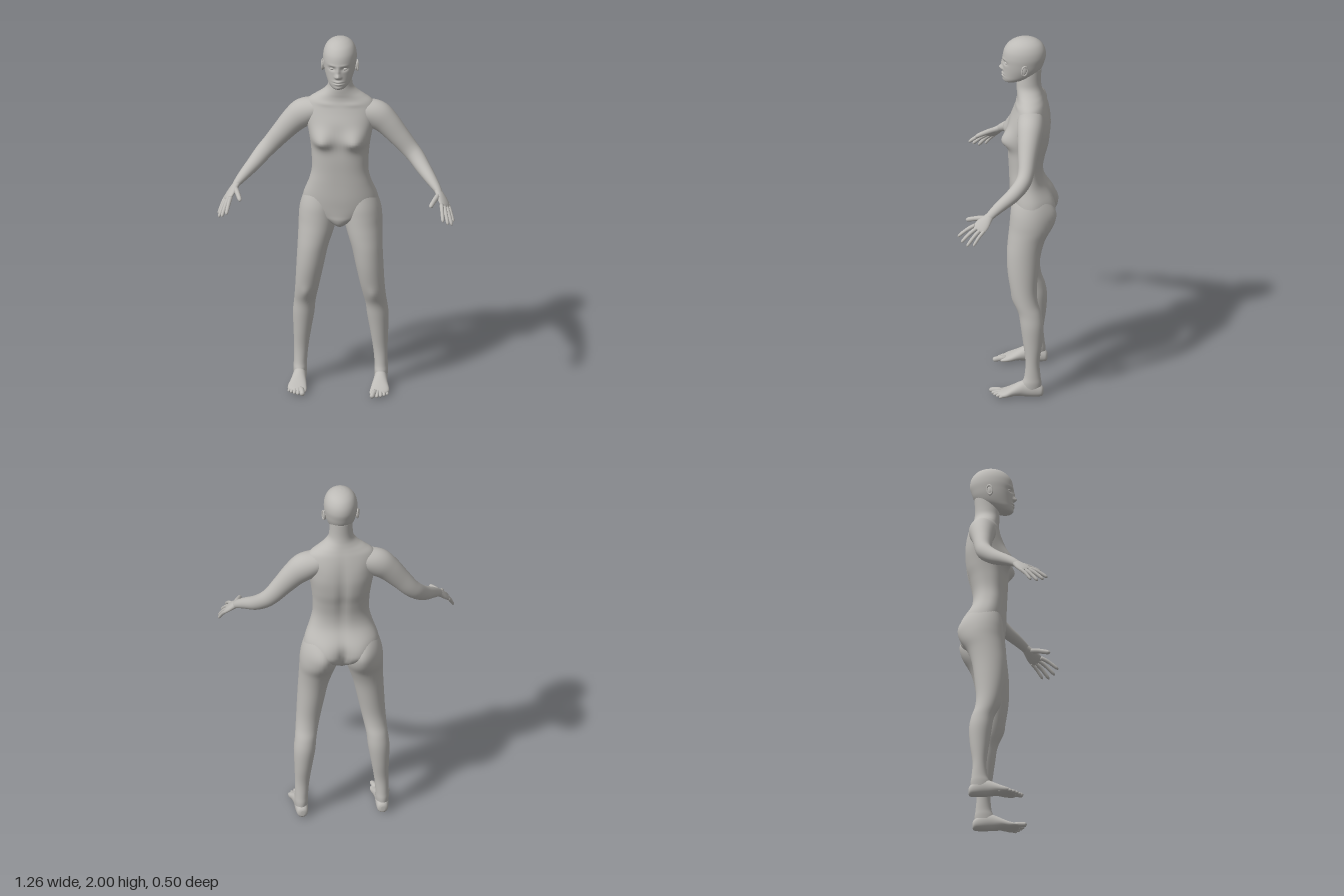
import * as THREE from 'three';

const skin = new THREE.MeshStandardMaterial({ color: 0xbdbbb7 });
skin.name = 'clay grey';

// Catmull-Rom sampling of rows of numbers
function sample(rows, t) {
  const f = t * (rows.length - 1), i = Math.min(Math.floor(f), rows.length - 2), k = f - i;
  const at = (n) => rows[Math.max(0, Math.min(rows.length - 1, n))];
  return rows[i].map((b, c) => {
    const a = at(i - 1)[c], d = at(i + 1)[c], e = at(i + 2)[c];
    return b + 0.5 * k * (d - a + k * (2 * a - 5 * b + 4 * d - e + k * (3 * (b - d) + e - a)));
  });
}

// Closed skin over a list of rings of points
function skinRings(rings) {
  const n = rings[0].length, pos = [], idx = [];
  rings.forEach((r) => r.forEach((p) => pos.push(p.x, p.y, p.z)));
  const id = (i, j) => i * n + (j % n);
  for (let i = 0; i < rings.length - 1; i++)
    for (let j = 0; j < n; j++)
      idx.push(id(i, j), id(i, j + 1), id(i + 1, j), id(i, j + 1), id(i + 1, j + 1), id(i + 1, j));
  [0, rings.length - 1].forEach((i, end) => {
    const c = rings[i].reduce((s, p) => s.add(p), new THREE.Vector3()).divideScalar(n);
    const centre = pos.length / 3;
    pos.push(c.x, c.y, c.z);
    for (let j = 0; j < n; j++)
      end ? idx.push(centre, id(i, j), id(i, j + 1)) : idx.push(centre, id(i, j + 1), id(i, j));
  });
  const g = new THREE.BufferGeometry();
  g.setAttribute('position', new THREE.Float32BufferAttribute(pos, 3));
  g.setIndex(idx);
  g.computeVertexNormals();
  return g;
}

const power = (v, p) => Math.sign(v) * Math.abs(v) ** (2 / p);

// Loft up y (or forward along z): rows are [position, centre x, half width, high side, low side, squareness]
function loft(rows, axis, steps, segs) {
  const rings = [];
  for (let s = 0; s <= steps; s++) {
    const [t, cx, r, hi, lo, p = 2] = sample(rows, s / steps);
    rings.push(Array.from({ length: segs }, (_, j) => {
      const a = (j / segs) * Math.PI * 2, c = power(Math.cos(a), p), d = power(Math.sin(a), p);
      const mid = (hi + lo) / 2, half = (hi - lo) / 2;
      return axis === 'y' ? new THREE.Vector3(cx + r * d, t, mid + half * c)
        : new THREE.Vector3(cx + r * c, mid + half * d, t);
    }));
  }
  return skinRings(rings);
}

// Limb along a path: rows are [x, y, z, radius along the width direction, other radius]
function limb(rows, width, steps, segs) {
  const rings = [], centre = (t) => new THREE.Vector3(...sample(rows, t).slice(0, 3));
  for (let s = 0; s <= steps; s++) {
    const t = s / steps, [x, y, z, ru, rv] = sample(rows, t);
    const dir = centre(Math.min(1, t + 0.01)).sub(centre(Math.max(0, t - 0.01))).normalize();
    const u = new THREE.Vector3(...width).addScaledVector(dir, -dir.dot(new THREE.Vector3(...width))).normalize();
    const v = dir.clone().cross(u);
    rings.push(Array.from({ length: segs }, (_, j) => {
      const a = (j / segs) * Math.PI * 2;
      return new THREE.Vector3(x, y, z).addScaledVector(u, ru * Math.cos(a)).addScaledVector(v, rv * Math.sin(a));
    }));
  }
  return skinRings(rings);
}

// Rounded digit from base to tip, with a slight bend at the middle
function digit(base, tip, r, lift, width) {
  const row = (t, k) => [0, 1, 2].map((i) => base[i] + (tip[i] - base[i]) * t + (i === 1 ? lift * 4 * t * (1 - t) : 0)).concat(r * k, r * k);
  return limb([row(0, 1), row(0.3, 1.05), row(0.55, 0.95), row(0.8, 0.9), row(0.94, 0.72), row(1, 0.2)], width, 15, 10);
}

// Soft bumps, mirrored: [x, y, z, radius x, radius y, radius z, push in z]
function sculpt(g, bumps) {
  const p = g.attributes.position;
  for (let i = 0; i < p.count; i++) {
    const x = p.getX(i), y = p.getY(i), z = p.getZ(i);
    let dz = 0;
    for (const [bx, by, bz, rx, ry, rz, push] of bumps)
      for (const s of bx ? [1, -1] : [1])
        dz += push * Math.exp(-(((x - s * bx) / rx) ** 2) - ((y - by) / ry) ** 2 - ((z - bz) / rz) ** 2);
    p.setZ(i, z + dz);
  }
  g.computeVertexNormals();
  return g;
}

function mirrored(g) {
  const m = g.clone().scale(-1, 1, 1), a = m.index.array;
  for (let i = 0; i < a.length; i += 3) [a[i], a[i + 1]] = [a[i + 1], a[i]];
  m.computeVertexNormals();
  return m;
}

export function createModel() {
  const model = new THREE.Group();
  model.name = 'figure';
  const add = (name, g) => {
    const m = new THREE.Mesh(g, skin);
    m.name = name;
    model.add(m);
  };
  const pair = (name, g) => {
    add(name + 'Left', g);
    add(name + 'Right', mirrored(g));
  };
  const seat = [0.095, 1.02, -0.23, 0.075, 0.085, 0.1, -0.034];

  // Torso and neck
  add('torso', sculpt(loft([
    [0.918, 0, 0.012, -0.06, -0.14, 2], [0.94, 0, 0.045, -0.025, -0.17, 2], [0.97, 0, 0.1, -0.01, -0.2, 2],
    [1.0, 0, 0.165, -0.008, -0.215, 2], [1.04, 0, 0.2, -0.005, -0.222, 2.1], [1.1, 0, 0.195, 0, -0.218, 2.2],
    [1.18, 0, 0.166, 0.003, -0.182, 2.3], [1.25, 0, 0.15, 0.006, -0.176, 2.3], [1.33, 0, 0.151, 0.01, -0.19, 2.3],
    [1.4, 0, 0.158, 0.008, -0.208, 2.3], [1.47, 0, 0.17, 0.006, -0.215, 2.3], [1.53, 0, 0.184, 0, -0.212, 2.1],
    [1.59, 0, 0.19, -0.02, -0.203, 2], [1.635, 0, 0.17, -0.034, -0.192, 2], [1.665, 0, 0.13, -0.038, -0.182, 2],
    [1.69, 0, 0.094, -0.036, -0.174, 2], [1.72, 0, 0.069, -0.034, -0.167, 2], [1.76, 0, 0.062, -0.036, -0.164, 2],
    [1.83, 0, 0.06, -0.045, -0.167, 2],
  ], 'y', 100, 64), [
    seat,
    [0.094, 1.445, 0.01, 0.064, 0.055, 0.1, 0.04],   // bust
    [0.098, 1.425, 0.01, 0.052, 0.026, 0.1, 0.012],
    [0, 1.0, -0.23, 0.02, 0.08, 0.1, 0.025],         // spine groove
    [0, 1.38, -0.21, 0.025, 0.2, 0.08, 0.012],
    [0.09, 1.54, -0.2, 0.05, 0.07, 0.08, -0.005],    // shoulder blades
    [0.08, 1.632, -0.03, 0.06, 0.012, 0.06, 0.004],  // collar bones
  ]));

  // Head and face
  add('head', sculpt(loft([
    [1.744, 0, 0.02, 0.022, -0.025], [1.752, 0, 0.038, 0.033, -0.05], [1.77, 0, 0.056, 0.038, -0.1],
    [1.795, 0, 0.069, 0.038, -0.145], [1.83, 0, 0.08, 0.037, -0.169], [1.865, 0, 0.086, 0.038, -0.182],
    [1.9, 0, 0.089, 0.038, -0.19], [1.935, 0, 0.085, 0.03, -0.186], [1.965, 0, 0.072, 0.01, -0.17],
    [1.985, 0, 0.052, -0.018, -0.145], [1.996, 0, 0.028, -0.045, -0.115], [2.0, 0, 0.004, -0.073, -0.083],
  ], 'y', 120, 96), [
    [0, 1.853, 0.04, 0.01, 0.025, 0.05, 0.01],        // nose
    [0, 1.826, 0.04, 0.012, 0.012, 0.05, 0.019],
    [0.012, 1.82, 0.04, 0.007, 0.007, 0.05, 0.007],
    [0.033, 1.865, 0.03, 0.019, 0.011, 0.05, -0.01],  // eye sockets
    [0.03, 1.885, 0.03, 0.022, 0.007, 0.05, 0.003],   // brows
    [0, 1.794, 0.04, 0.021, 0.006, 0.05, 0.008],      // lips
    [0, 1.78, 0.04, 0.018, 0.006, 0.05, 0.007],
    [0, 1.787, 0.04, 0.024, 0.003, 0.05, -0.004],
    [0, 1.758, 0.03, 0.02, 0.01, 0.04, 0.004],        // chin
  ]));
  pair('eye', new THREE.SphereGeometry(1, 20, 14).scale(0.014, 0.008, 0.012).translate(0.033, 1.864, 0.015));
  pair('ear', new THREE.SphereGeometry(1, 16, 12).scale(0.01, 0.028, 0.017).rotateY(0.25).translate(0.086, 1.845, -0.08));
  pair('earRim', new THREE.TorusGeometry(0.017, 0.0045, 8, 24).scale(0.9, 1.55, 1).rotateY(Math.PI / 2 + 0.3).rotateX(-0.15).translate(0.092, 1.845, -0.082));

  // Legs, rising into the hips
  pair('leg', sculpt(loft([
    [0.03, 0.215, 0.031, -0.065, -0.174], [0.08, 0.215, 0.036, -0.074, -0.177], [0.12, 0.214, 0.035, -0.087, -0.172],
    [0.2, 0.21, 0.038, -0.092, -0.167], [0.3, 0.204, 0.047, -0.08, -0.18], [0.4, 0.197, 0.057, -0.066, -0.186],
    [0.47, 0.19, 0.057, -0.055, -0.176], [0.53, 0.181, 0.06, -0.032, -0.157], [0.6, 0.171, 0.065, -0.012, -0.15],
    [0.7, 0.158, 0.073, 0.005, -0.158], [0.8, 0.145, 0.081, 0.01, -0.171], [0.88, 0.131, 0.092, 0.005, -0.192],
    [0.94, 0.122, 0.1, -0.001, -0.216], [0.99, 0.117, 0.103, -0.005, -0.22], [1.04, 0.112, 0.1, -0.009, -0.215],
    [1.09, 0.106, 0.09, -0.018, -0.2], [1.14, 0.098, 0.072, -0.03, -0.175], [1.19, 0.09, 0.045, -0.05, -0.135],
  ], 'y', 72, 36), [
    seat,
    [0.178, 0.55, -0.03, 0.025, 0.035, 0.05, 0.007],  // kneecap
  ]));

  // Feet and toes
  pair('foot', loft([
    [-0.188, 0.213, 0.01, 0.045, 0.015, 2.2], [-0.178, 0.213, 0.027, 0.062, 0.004, 2.2], [-0.14, 0.214, 0.034, 0.085, 0, 2.2],
    [-0.09, 0.215, 0.035, 0.092, 0, 2], [-0.06, 0.216, 0.038, 0.081, 0.003, 2], [-0.03, 0.217, 0.043, 0.064, 0.005, 2.1],
    [0.005, 0.219, 0.05, 0.044, 0.001, 2.3], [0.03, 0.216, 0.049, 0.033, 0.001, 2.3],
    [0.05, 0.206, 0.037, 0.026, 0.003, 2.3], [0.06, 0.2, 0.024, 0.021, 0.006, 2.3],
  ], 'z', 40, 28));
  [[0.183, 0.1, 0.015], [0.209, 0.088, 0.011], [0.229, 0.077, 0.0105], [0.247, 0.062, 0.01], [0.262, 0.045, 0.0095]]
    .forEach(([x, z, r], i) => pair('toe' + (i + 1), digit([0.6 * x + 0.087, 0.017, z - 0.07], [x, r * 0.9, z], r, 0.005, [1, 0, 0])));

  // Arms, starting inside the chest
  pair('arm', limb([
    [0.05, 1.59, -0.115, 0.045, 0.035], [0.1, 1.585, -0.115, 0.063, 0.054], [0.15, 1.57, -0.116, 0.071, 0.069],
    [0.2, 1.547, -0.116, 0.07, 0.077], [0.25, 1.505, -0.113, 0.061, 0.068], [0.31, 1.437, -0.108, 0.05, 0.057],
    [0.365, 1.372, -0.102, 0.043, 0.049], [0.405, 1.33, -0.083, 0.041, 0.045], [0.448, 1.285, -0.037, 0.038, 0.039],
    [0.495, 1.245, 0.025, 0.031, 0.03], [0.53, 1.213, 0.07, 0.024, 0.021], [0.553, 1.186, 0.099, 0.019, 0.012],
  ], [0, 0, 1], 66, 28));

  // Hands: palm, four fingers and thumb
  const across = [-0.5, 0.3, 0.8];
  pair('palm', limb([
    [0.518, 1.226, 0.058, 0.016, 0.014], [0.54, 1.2, 0.085, 0.025, 0.0175], [0.56, 1.174, 0.111, 0.037, 0.016],
    [0.575, 1.153, 0.131, 0.039, 0.013], [0.582, 1.142, 0.14, 0.034, 0.009],
  ], across, 18, 20));
  [[0.575, 1.1, 0.247], [0.6, 1.078, 0.228], [0.618, 1.063, 0.198], [0.624, 1.068, 0.163]].forEach((tip, i) => {
    const k = 0.031 - i * 0.0205;
    const base = [0.575 + across[0] * k, 1.153 + across[1] * k, 0.131 + across[2] * k];
    pair('finger' + (i + 1), digit(base, tip, i === 3 ? 0.009 : 0.0105, 0.006, across));
  });
  pair('thumb', digit([0.541, 1.195, 0.1], [0.504, 1.165, 0.208], 0.0135, 0.004, [0.5, 1, 0]));

  return model;
}
